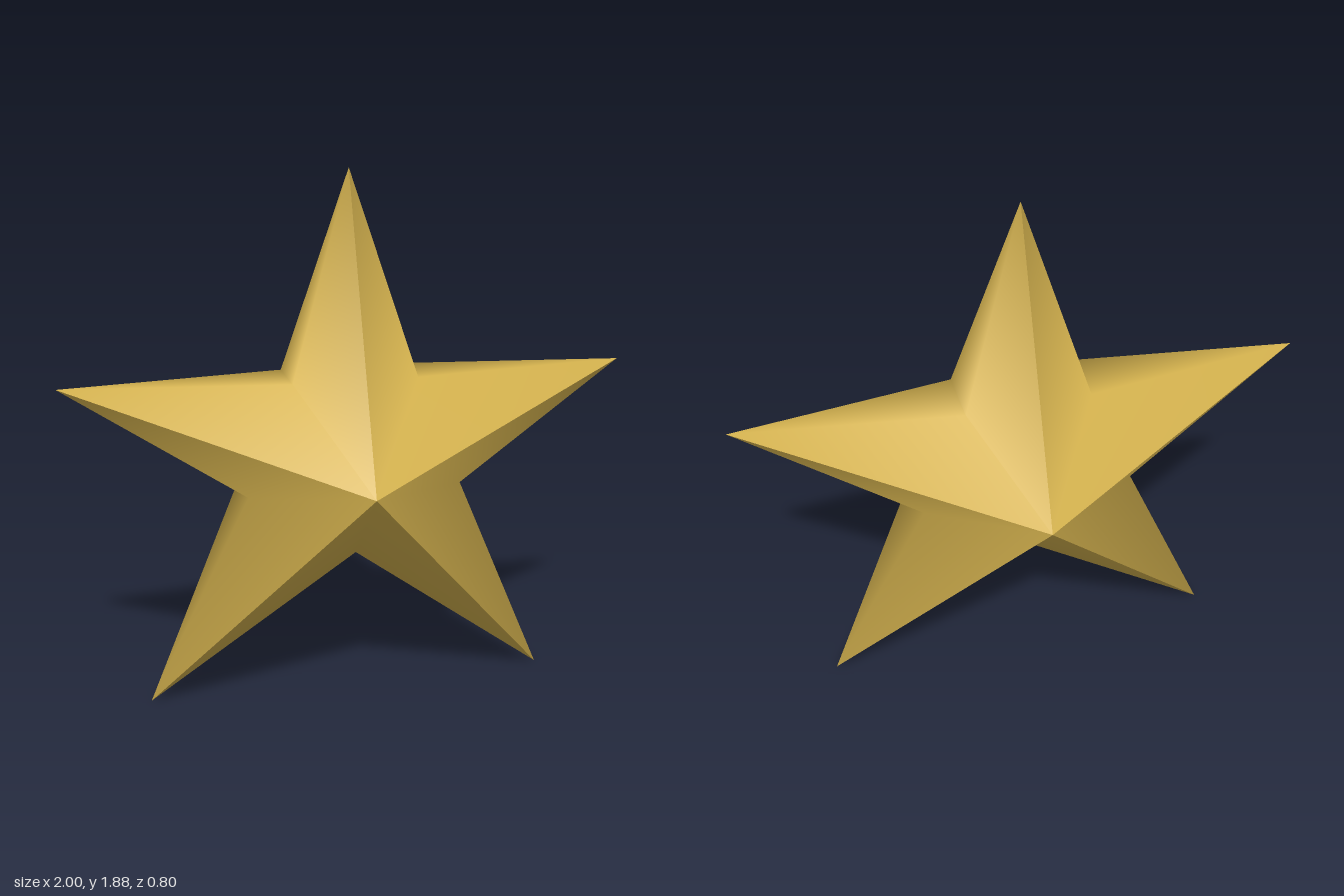
import * as THREE from 'three';
import { mergeGeometries } from 'three/addons/utils/BufferGeometryUtils.js';

const CENTRE_Y = 0.835; // height of the front and back peaks
const PEAK_Z = 0.4;     // how far the peaks stand out
const NOTCH_Z = 0.107;  // half thickness at the inner corners

// Outline, counter-clockwise seen from the front
const tips = [[0, 1.876], [-1, 1.17], [-0.728, 0], [0.728, 0], [1, 1.17]];
const notches = [[-0.22, 1.17], [-0.378, 0.778], [0, 0.547], [0.378, 0.778], [0.22, 1.17]];

// One valley between two neighbouring points: smooth inside, creased along the ridges
function valley(tipA, notch, tipB) {
  const corners = [
    0, CENTRE_Y, PEAK_Z,   // 0 front peak
    0, CENTRE_Y, -PEAK_Z,  // 1 back peak
    ...tipA, 0,            // 2
    ...tipB, 0,            // 3
    ...notch, NOTCH_Z,     // 4
    ...notch, -NOTCH_Z,    // 5
  ];
  const geometry = new THREE.BufferGeometry();
  geometry.setAttribute('position', new THREE.Float32BufferAttribute(corners, 3));
  geometry.setIndex([
    0, 2, 4, 0, 4, 3, // front facets
    2, 5, 4, 3, 4, 5, // narrow rim facets
    1, 5, 2, 1, 3, 5, // back facets
  ]);
  geometry.computeVertexNormals();
  return geometry;
}

export function createModel() {
  const gold = new THREE.MeshStandardMaterial({ color: 0xd9b650 });
  gold.name = 'gold';

  // Five valleys close up into the whole star
  const valleys = tips.map((tip, i) => valley(tip, notches[i], tips[(i + 1) % tips.length]));
  const star = new THREE.Mesh(mergeGeometries(valleys), gold);
  star.name = 'star';

  const model = new THREE.Group();
  model.name = 'fivePointedStar';
  model.add(star);
  return model;
}
